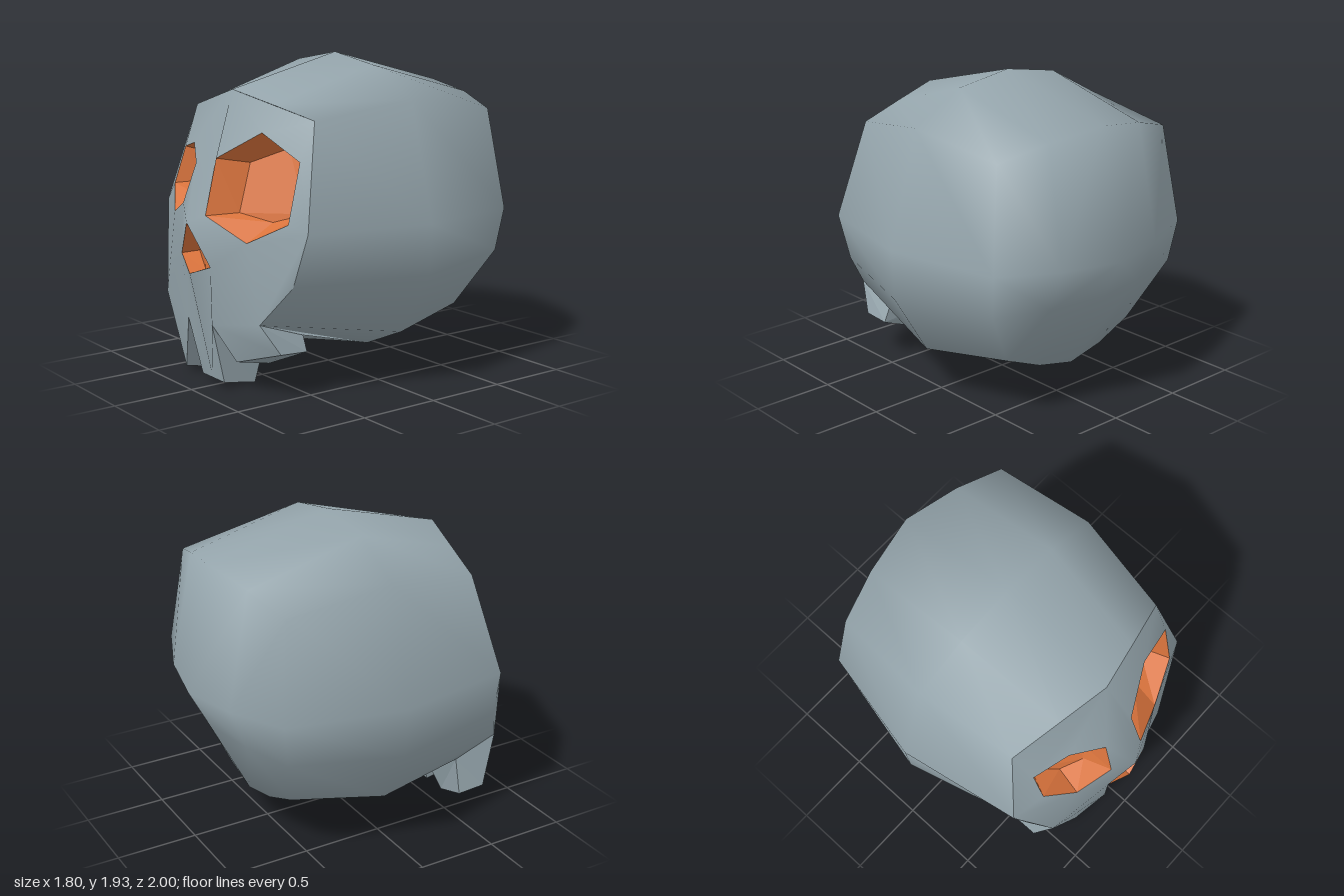
import * as THREE from 'three';
import { mergeVertices } from 'three/addons/utils/BufferGeometryUtils.js';

// Turns a list of triangles (each three points) into a geometry, smooth or faceted
function fromTriangles(tris, smooth) {
  let geo = new THREE.BufferGeometry();
  geo.setAttribute('position', new THREE.Float32BufferAttribute(tris.flat(2), 3));
  if (smooth) geo = mergeVertices(geo, 1e-4);
  geo.computeVertexNormals();
  return geo;
}

// Fills a polygon of 3D points, facing +z or -z
function fill(points, facing = 1) {
  const flat = points.map(p => new THREE.Vector2(p[0], p[1]));
  return THREE.ShapeUtils.triangulateShape(flat, []).map(([i, j, k]) => {
    const [a, b, c] = [points[i], points[j], points[k]];
    const area = (b[0] - a[0]) * (c[1] - a[1]) - (b[1] - a[1]) * (c[0] - a[0]);
    return area * facing > 0 ? [a, b, c] : [a, c, b];
  });
}

// Strip of quads joining a front path to a matching back path
function strip(front, back, closed) {
  const tris = [];
  const n = front.length;
  for (let i = 0; i < (closed ? n : n - 1); i++) {
    const j = (i + 1) % n;
    tris.push([front[i], front[j], back[j]], [front[i], back[j], back[i]]);
  }
  return tris;
}

// Completes a right half ring (top to bottom) with its mirror image
const flip = ([x, y, z]) => [-x, y, z];
const ring = (half, left = half.map(flip)) => [...half, ...left.slice(1, -1).reverse()];

export function createModel() {
  const group = new THREE.Group();
  const bone = new THREE.MeshStandardMaterial({ color: 0x95a5ac });
  bone.name = 'bone grey';
  const ember = new THREE.MeshStandardMaterial({ color: 0xd9733c });
  ember.name = 'socket orange';
  const add = (name, geo, mat) => {
    const mesh = new THREE.Mesh(geo, mat);
    mesh.name = name;
    group.add(mesh);
  };

  // Face landmarks
  const brow = [0, 1.74, 0.69];
  const edgeL = [[0.61, 1.6, 0.55], [0.74, 1.0, 0.69], [0.64, 0.69, 0.72], [0.47, 0.46, 0.83]];
  const edgeR = [[-0.62, 1.6, 0.55], [-0.76, 1.0, 0.69], [-0.67, 0.69, 0.72], [-0.55, 0.46, 0.83]];

  // Cranium: rings from the face edge to the back
  const frontHalf = (edge, side) => [
    brow, [side * 0.31, 1.67, 0.62], ...edge,
    [side > 0 ? 0.48 : -0.55, 0.36, 0.54], [0, 0.25, 0.55],
  ];
  const middle = [
    [0, 1.93, -0.05], [0.37, 1.87, -0.05], [0.71, 1.69, -0.06], [0.9, 1.0, -0.06],
    [0.885, 0.7, -0.06], [0.65, 0.32, -0.05], [0.33, 0.18, -0.05], [0, 0.12, -0.05],
  ];
  const rear = [
    [0, 1.73, -0.84], [0.36, 1.68, -0.78], [0.66, 1.6, -0.7], [0.75, 1.0, -0.77],
    [0.72, 0.74, -0.73], [0.5, 0.38, -0.6], [0.25, 0.28, -0.61], [0, 0.23, -0.62],
  ];
  const backCentre = [0, 0.97, -1.0], a = [0.38, 0.98, -0.92];
  const b = [0.36, 0.72, -0.81], lowCentre = [0, 0.72, -0.87];
  const inner = [backCentre, a, a, a, b, b, b, lowCentre];
  const rings = [
    ring(frontHalf(edgeL, 1), frontHalf(edgeR, -1)),
    ring(middle), ring(rear), ring(inner),
    Array(14).fill(backCentre),
  ];
  const shell = rings.slice(1).flatMap((r, i) => strip(rings[i], r, true))
    .filter(([p, q, r]) => String(p) !== String(q) && String(q) !== String(r) && String(p) !== String(r));
  add('cranium', fromTriangles(shell, true), bone);

  // Socket rims and floors, counterclockwise from the top
  const bigEye = {
    rim: [[0.33, 1.52, 0.71], [0.07, 1.36, 0.85], [0.09, 1.04, 0.94],
      [0.36, 0.91, 0.84], [0.61, 1.04, 0.73], [0.61, 1.38, 0.65]],
    floor: [[0.34, 1.42], [0.15, 1.33], [0.17, 1.05], [0.36, 1.01], [0.53, 1.07], [0.53, 1.34]],
    depth: 0.18,
  };
  const smallEye = {
    rim: [[-0.35, 1.4, 0.74], [-0.57, 1.35, 0.67], [-0.57, 1.13, 0.75],
      [-0.39, 0.99, 0.86], [-0.17, 1.08, 0.93], [-0.15, 1.31, 0.85]],
    floor: [[-0.35, 1.335], [-0.5, 1.3], [-0.5, 1.14], [-0.37, 1.07], [-0.24, 1.125], [-0.22, 1.285]],
    depth: 0.16,
  };
  const nose = {
    rim: [[-0.02, 0.99, 1.0], [-0.18, 0.78, 0.94], [-0.02, 0.69, 0.985], [0.15, 0.75, 0.95]],
    floor: [[-0.02, 0.98], [-0.16, 0.785], [-0.02, 0.7], [0.13, 0.76]],
    depth: 0.11,
  };
  for (const [name, s] of Object.entries({ leftEyeSocket: bigEye, rightEyeSocket: smallEye, noseSocket: nose })) {
    const floor = s.floor.map(([x, y], i) => [x, y, s.rim[i][2] - s.depth]);
    add(name, fromTriangles([...strip(s.rim, floor, true), ...fill(floor)], false), ember);
  }

  // Jaw outline from left to right, front and back
  const jaw = [
    edgeL[3], [0.52, 0.28, 0.72], [0.2, 0.18, 0.81], [0.11, 0.4, 0.92], [0.11, 0.04, 0.84],
    [-0.13, 0.04, 0.84], [-0.15, 0.39, 0.92], [-0.32, 0.04, 0.84], [-0.6, 0.15, 0.72], edgeR[3],
  ];
  const jawBack = [
    [0.48, 0.36, 0.54], [0.52, 0.27, 0.54], [0.22, 0.14, 0.6], [0.11, 0.25, 0.55], [0.1, 0, 0.62],
    [-0.13, 0, 0.62], [-0.15, 0.25, 0.55], [-0.29, 0, 0.62], [-0.6, 0.14, 0.54], [-0.55, 0.36, 0.54],
  ];
  add('teeth', fromTriangles([...strip(jaw, jawBack, false), ...fill(jawBack, -1)], false), bone);

  // Face: upper and lower panel on each side, running round the sockets
  const [tip, noseR, noseBase, noseL] = nose.rim;
  const e = bigEye.rim, f = smallEye.rim;
  const chin = [-0.02, 0.04, 0.84];
  const face = [
    [brow, tip, e[2], e[1], e[0], e[5], e[4], edgeL[1], edgeL[0]],
    [brow, tip, f[4], f[5], f[0], f[1], f[2], edgeR[1], edgeR[0]],
    [tip, noseL, noseBase, chin, ...jaw.slice(0, 5).reverse(), edgeL[2], edgeL[1], e[4], e[3], e[2]],
    [tip, noseR, noseBase, chin, ...jaw.slice(5), edgeR[2], edgeR[1], f[2], f[3], f[4]],
  ];
  add('face', fromTriangles(face.flatMap(p => fill(p)), true), bone);

  return group;
}
